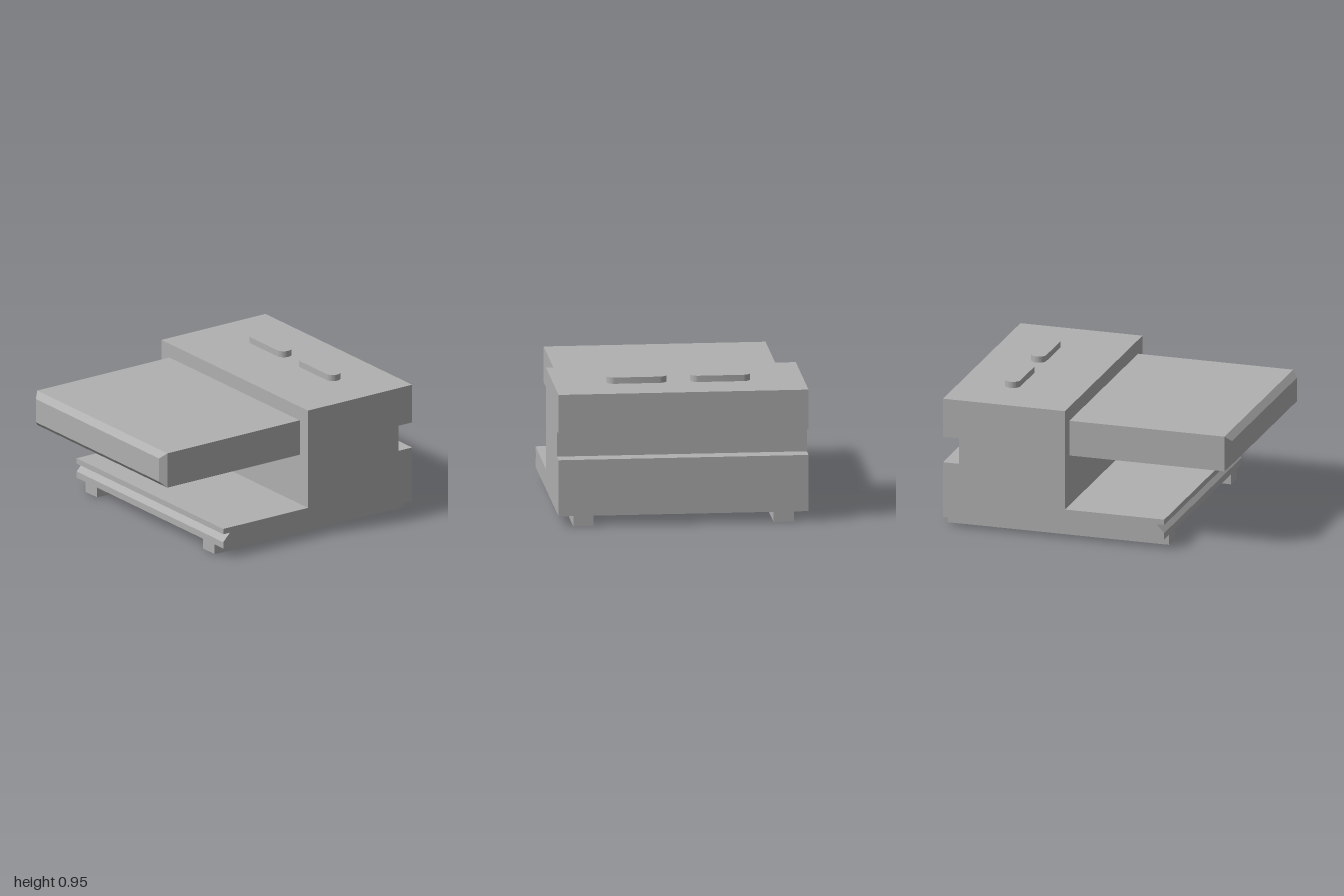
import * as THREE from 'three';
import { toCreasedNormals } from 'three/addons/utils/BufferGeometryUtils.js';

const WIDTH = 1.69;

export function createModel() {
  const model = new THREE.Group();
  model.name = 'model';
  const grey = new THREE.MeshStandardMaterial({ color: 0xb0b0b0 });
  grey.name = 'grey';

  const add = (name, geometry, x = 0, y = 0, z = 0) => {
    const mesh = new THREE.Mesh(geometry, grey);
    mesh.name = name;
    mesh.position.set(x, y, z);
    model.add(mesh);
  };

  // Body: side profile (z, y) swept across x, with front and back grooves
  const profile = [
    [-1, 0.07], [0.565, 0.07], [0.565, 0.115], [0.51, 0.172], [0.565, 0.172],
    [0.565, 0.21], [-0.137, 0.21], [-0.137, 0.907], [-1, 0.907],
    [-1, 0.637], [-0.885, 0.637], [-0.885, 0.457], [-1, 0.457],
  ].map(([z, y]) => new THREE.Vector2(z, y));
  const body = new THREE.ExtrudeGeometry(new THREE.Shape(profile), { depth: WIDTH, bevelEnabled: false });
  body.translate(0, 0, -WIDTH / 2).rotateY(-Math.PI / 2);
  add('body', body);

  // Overhanging slab: the front end tapers to a chamfer
  const back = -0.137, chamferStart = 0.96, inset = 0.04;
  const box = new THREE.BoxGeometry(1.5, 0.246, 2, 1, 1, 2);
  const p = box.attributes.position;
  for (let i = 0; i < p.count; i++) {
    const z = p.getZ(i);
    if (z > 0.5) {
      p.setX(i, p.getX(i) - Math.sign(p.getX(i)) * inset);
      p.setY(i, p.getY(i) - Math.sign(p.getY(i)) * inset);
    }
    p.setZ(i, z > 0.5 ? 1 : z < -0.5 ? back : chamferStart);
  }
  const slab = box.toNonIndexed();
  slab.computeVertexNormals();
  add('overhangSlab', slab, 0, 0.686, 0);

  // Rounded button on top
  const half = 0.15, r = 0.053;
  const stadium = new THREE.Shape();
  stadium.absarc(half, 0, r, -Math.PI / 2, Math.PI / 2);
  stadium.absarc(-half, 0, r, Math.PI / 2, Math.PI * 1.5);
  stadium.closePath();
  const button = toCreasedNormals(
    new THREE.ExtrudeGeometry(stadium, { depth: 0.043, bevelEnabled: false, curveSegments: 16 }).rotateX(-Math.PI / 2),
    0.6,
  );

  // Mirrored buttons and foot rails
  for (const [side, s] of [['left', 1], ['right', -1]]) {
    add(side + 'Button', button, s * 0.283, 0.907, -0.638);
    add(side + 'FootRail', new THREE.BoxGeometry(0.137, 0.07, 1.565), s * 0.677, 0.035, -0.2175);
  }
  return model;
}
